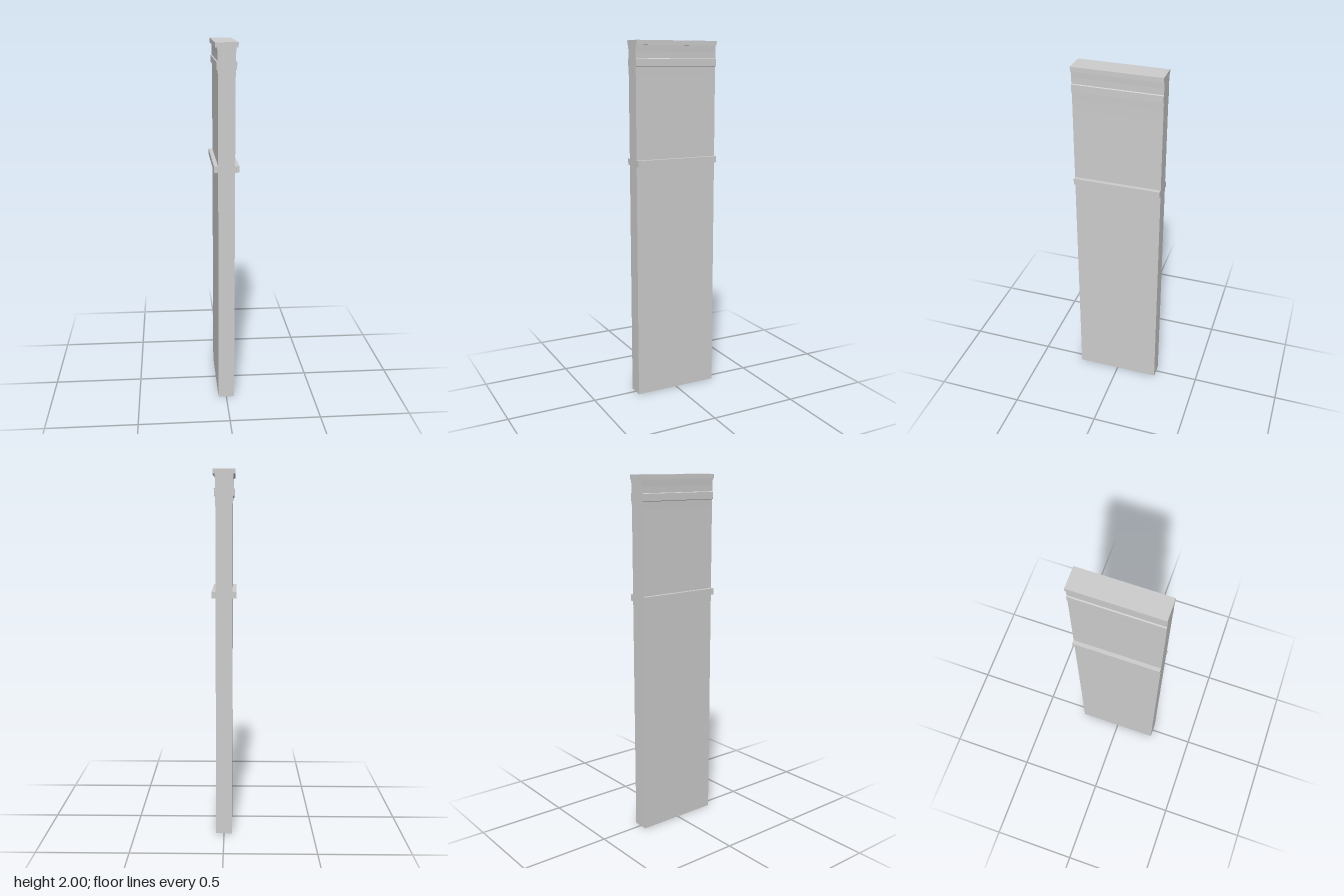
import * as THREE from 'three';

const DEPTH = 0.486;

// Right half of the wall section, from foot to top: [half width, height]
const halfProfile = [
  [0.045, 0],
  // middle string course
  [0.045, 1.328], [0.067, 1.328], [0.067, 1.363], [0.045, 1.363],
  // faint flare below the upper band
  [0.045, 1.76], [0.0455, 1.82], [0.0465, 1.862],
  // upper band
  [0.053, 1.865], [0.053, 1.903], [0.0465, 1.906],
  // neck and cap
  [0.047, 1.94], [0.049, 1.975], [0.06, 1.975], [0.06, 2],
];

export function createModel() {
  const group = new THREE.Group();
  group.name = 'wallPillar';

  // Mirror the half section into a closed outline and extrude it along z
  const right = halfProfile.map(([x, y]) => new THREE.Vector2(x, y));
  const left = halfProfile.map(([x, y]) => new THREE.Vector2(-x, y)).reverse();
  const geometry = new THREE.ExtrudeGeometry(new THREE.Shape([...right, ...left]), {
    depth: DEPTH,
    bevelEnabled: false,
  });
  geometry.translate(0, 0, -DEPTH / 2);

  const wall = new THREE.Mesh(geometry, new THREE.MeshStandardMaterial({ color: 0xcccccc }));
  wall.name = 'mouldedWall';
  group.add(wall);
  return group;
}
